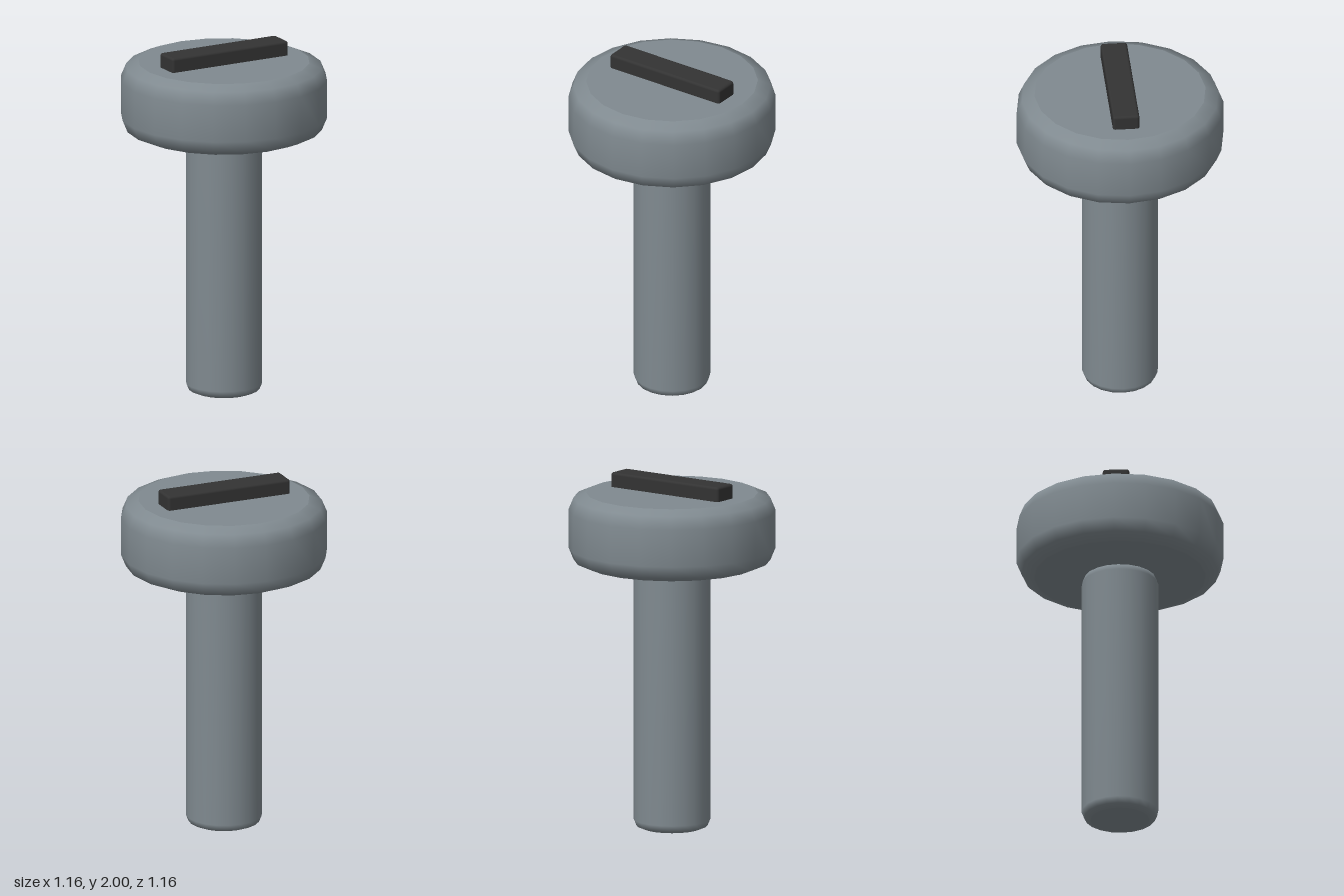
import * as THREE from 'three';
import { mergeGeometries } from 'three/addons/utils/BufferGeometryUtils.js';
import { RoundedBoxGeometry } from 'three/addons/geometries/RoundedBoxGeometry.js';

const SIDES = 20;

// Bevelled cylinder: smooth lathed wall with flat, crisp end caps
function bevelledCylinder(radius, y0, y1, bevel) {
  const inner = radius - bevel;
  const mid = inner + bevel * Math.SQRT1_2;
  const inset = bevel * (1 - Math.SQRT1_2);
  const profile = [
    [inner, y0], [mid, y0 + inset], [radius, y0 + bevel],
    [radius, y1 - bevel], [mid, y1 - inset], [inner, y1],
  ].map(([r, y]) => new THREE.Vector2(r, y));
  const top = new THREE.CircleGeometry(inner, SIDES).rotateX(-Math.PI / 2).translate(0, y1, 0);
  const bottom = new THREE.CircleGeometry(inner, SIDES).rotateX(Math.PI / 2).translate(0, y0, 0);
  return mergeGeometries([new THREE.LatheGeometry(profile, SIDES), top, bottom]);
}

export function createModel() {
  const model = new THREE.Group();
  model.name = 'slottedBolt';

  const steel = new THREE.MeshStandardMaterial({ color: 0x808a90 });
  steel.name = 'greySteel';
  const dark = new THREE.MeshStandardMaterial({ color: 0x333333 });
  dark.name = 'darkGrey';

  const add = (name, geometry, material) => {
    const mesh = new THREE.Mesh(geometry, material);
    mesh.name = name;
    model.add(mesh);
    return mesh;
  };

  // Shaft and head
  add('shaft', bevelledCylinder(0.215, 0, 1.505, 0.05), steel);
  add('head', bevelledCylinder(0.582, 1.505, 1.917, 0.1), steel);

  // Dark bar across the head, partly sunk into it
  add('slotBar', new RoundedBoxGeometry(0.75, 0.15, 0.15, 2, 0.015), dark).position.y = 1.925;

  return model;
}
